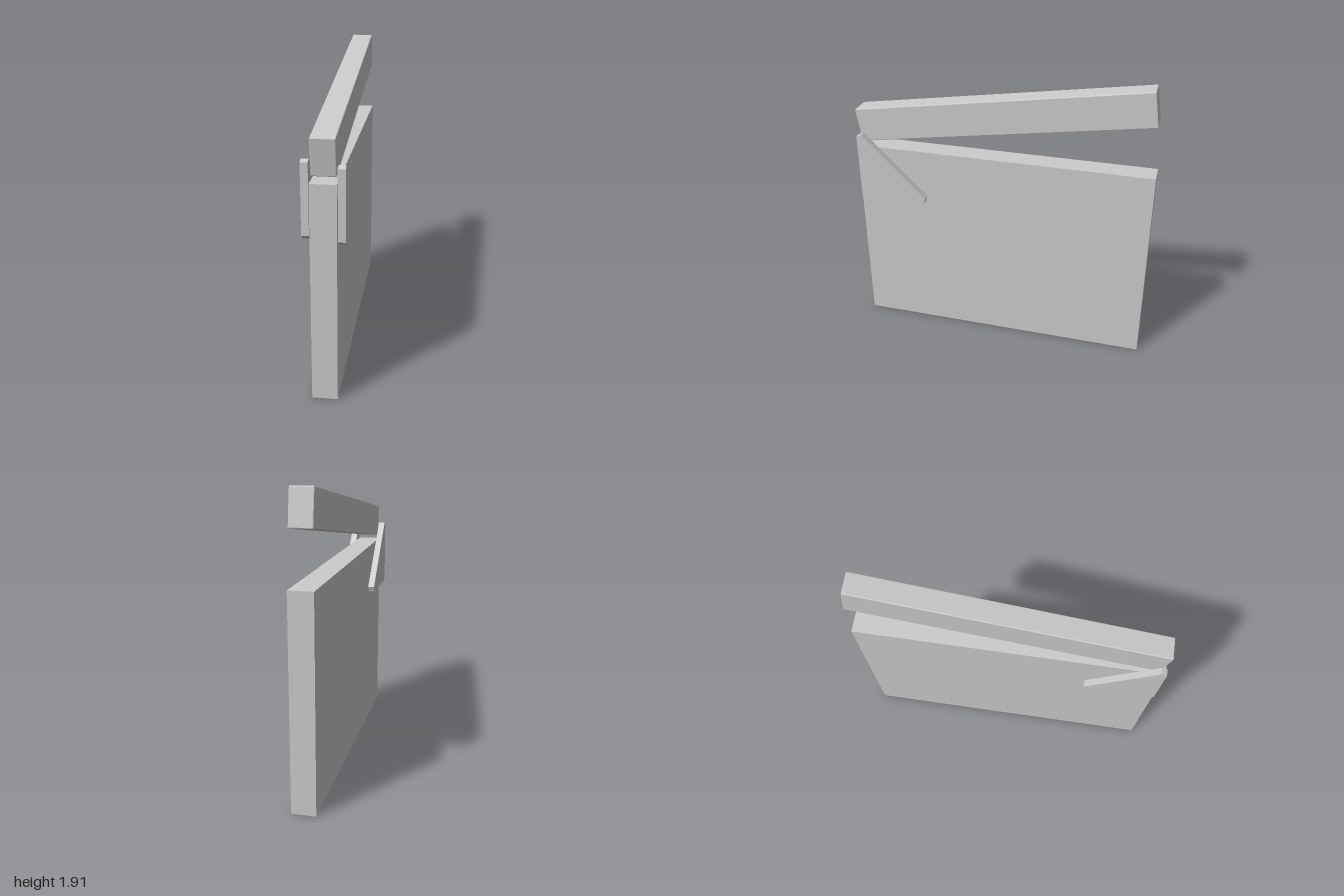
import * as THREE from 'three';
import { RoundedBoxGeometry } from 'three/addons/geometries/RoundedBoxGeometry.js';

const material = new THREE.MeshStandardMaterial({ color: 0xcccccc, flatShading: true });

// Triangular plate with clipped corners, drawn as (z, y) and thickened along x.
function hingePlate(name, outline, xMin, xMax) {
  const shape = new THREE.Shape(outline.map(([z, y]) => new THREE.Vector2(z, y)));
  const geometry = new THREE.ExtrudeGeometry(shape, { depth: xMax - xMin, bevelEnabled: false });
  geometry.rotateY(-Math.PI / 2); // outline x becomes z, depth runs towards -x
  geometry.translate(xMax, 0, 0);
  const mesh = new THREE.Mesh(geometry, material);
  mesh.name = name;
  return mesh;
}

export function createModel() {
  const model = new THREE.Group();
  model.name = 'clapperboard';

  // Upright slab
  const board = new THREE.Mesh(new THREE.BoxGeometry(0.154, 1.347, 2), material);
  board.name = 'board';
  board.position.y = 1.347 / 2;
  model.add(board);

  // Raised clap stick, hinged at the front, with slightly softened edges
  const stick = new THREE.Mesh(new RoundedBoxGeometry(0.144, 0.228, 1.968, 1, 0.006), material);
  stick.name = 'clapStick';
  stick.position.set(0, 1.642, 0.007);
  stick.rotation.x = 0.1555;
  model.add(stick);

  // Hinge plates; the right one sits a little higher and further forward
  const outline = [
    [0.98, 1.43], [0.945, 1.443], [0.514, 1.018], [0.53, 0.979], [0.952, 0.979], [0.979, 1.005],
  ];
  const shifted = outline.map(([z, y]) => [z + 0.008, y + 0.032]);
  model.add(hingePlate('leftHingePlate', outline, 0.079, 0.123));
  model.add(hingePlate('rightHingePlate', shifted, -0.126, -0.082));

  return model;
}
